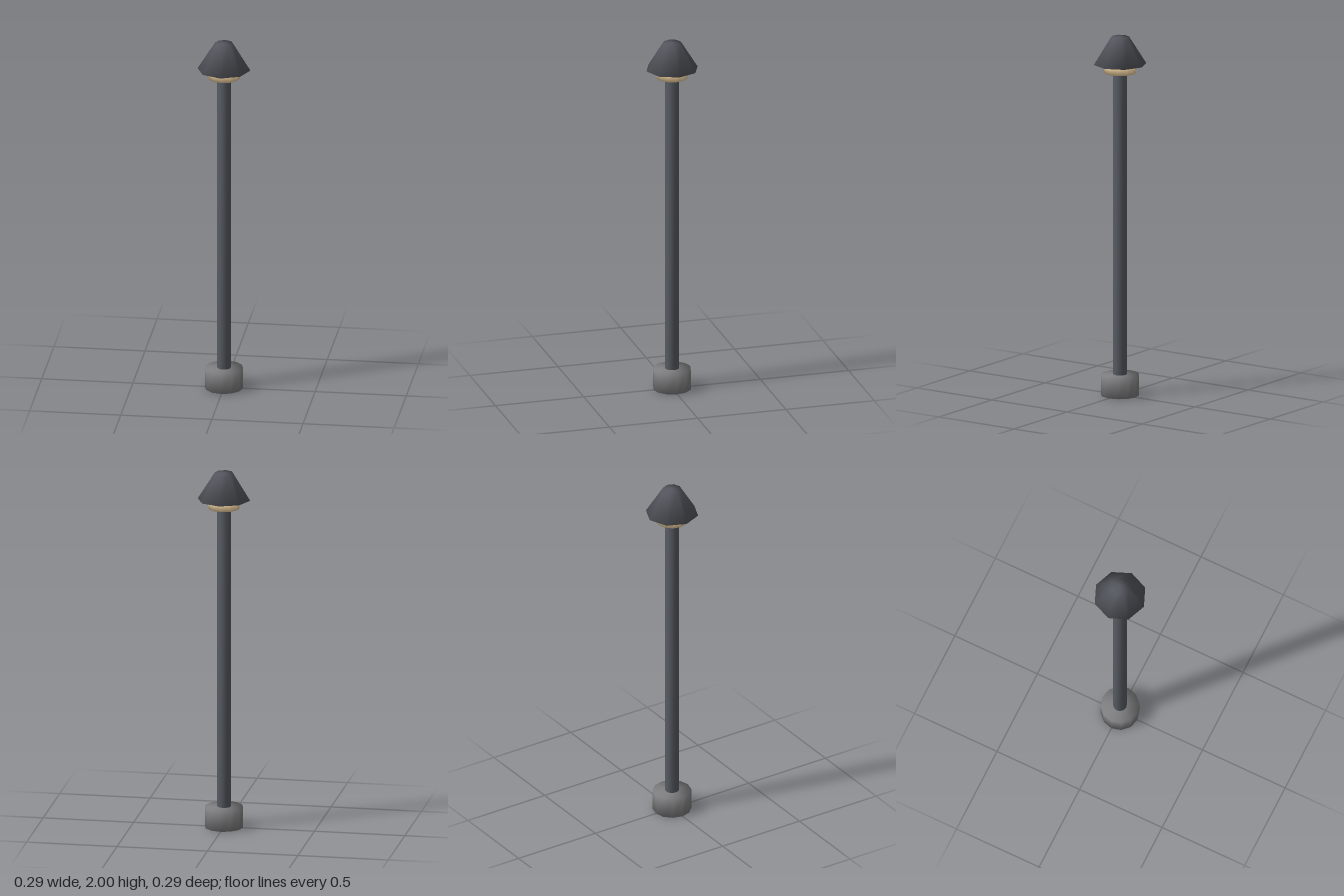
import * as THREE from 'three';
import { mergeVertices } from 'three/addons/utils/BufferGeometryUtils.js';

// Capped drum between two heights, with normals blended over its rims
function drum(name, color, rBottom, rTop, y0, y1, sides) {
  let geo = new THREE.CylinderGeometry(rTop, rBottom, y1 - y0, sides);
  geo.deleteAttribute('uv');
  geo.deleteAttribute('normal');
  geo = mergeVertices(geo, 1e-4);
  geo.computeVertexNormals();
  const mesh = new THREE.Mesh(geo, new THREE.MeshStandardMaterial({ color }));
  mesh.name = name;
  mesh.position.y = (y0 + y1) / 2;
  return mesh;
}

export function createModel() {
  const lamp = new THREE.Group();
  lamp.name = 'gardenLamp';
  lamp.add(
    drum('base', 0x808082, 0.105, 0.105, 0, 0.117, 12),
    drum('pole', 0x585c63, 0.038, 0.038, 0.117, 1.8, 12),
    drum('lightRing', 0xf5d7a5, 0.087, 0.087, 1.8, 1.85, 12),
    // Eight-sided tapered hood
    drum('shade', 0x54575e, 0.145, 0.05, 1.848, 2, 8)
  );
  return lamp;
}
